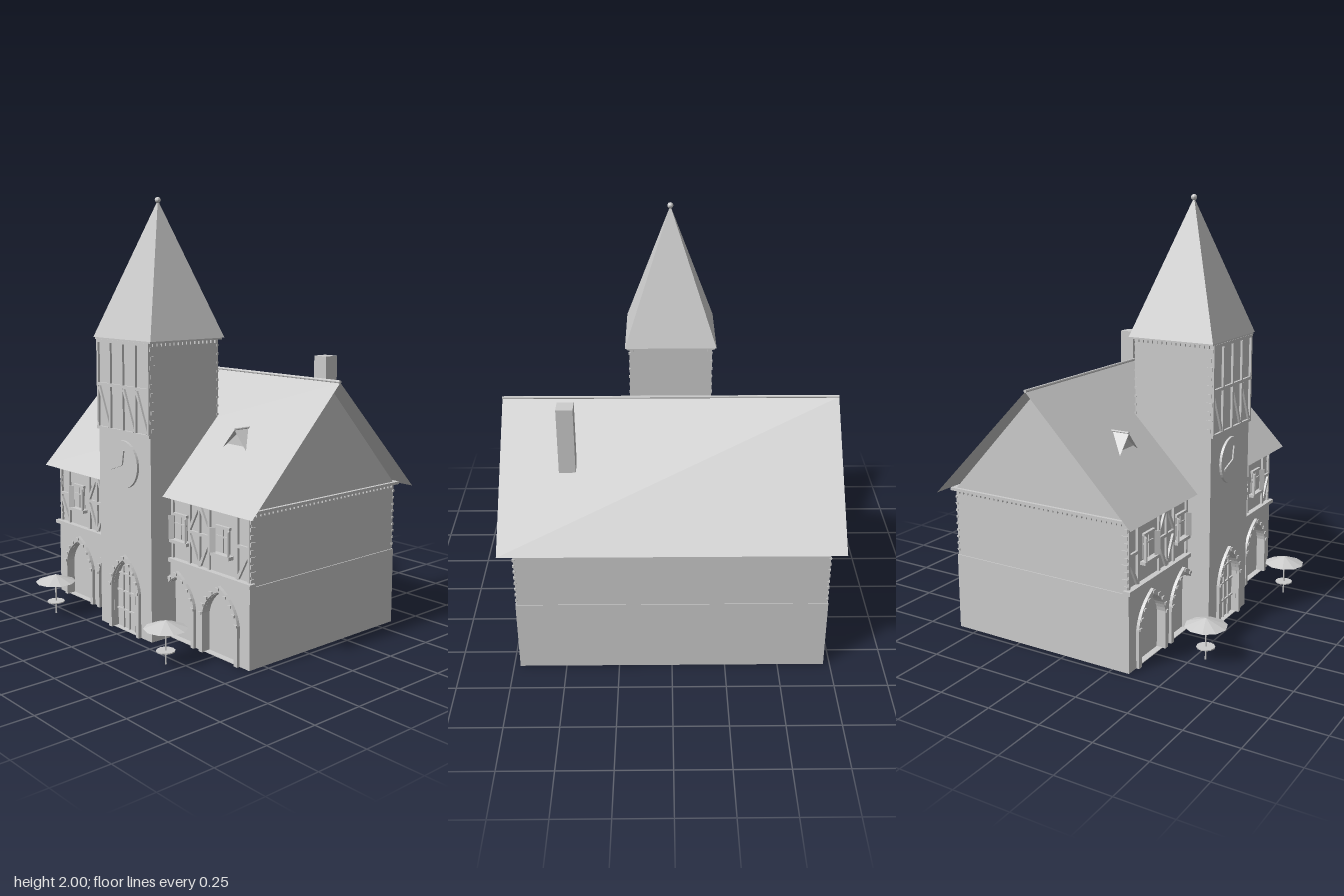
import * as THREE from 'three';

const stone = new THREE.MeshStandardMaterial({ color: 0xcccccc, side: THREE.DoubleSide, flatShading: true });
stone.name = 'pale grey';

export function createModel() {
  const model = new THREE.Group();
  model.name = 'townHall';

  const mesh = (name, geo, parent = model) => {
    const m = new THREE.Mesh(geo, stone);
    m.name = name;
    parent.add(m);
    return m;
  };
  const group = (name, parent = model) => {
    const g = new THREE.Group();
    g.name = name;
    parent.add(g);
    return g;
  };
  // Box given by its extents on each axis
  const box = (name, x0, x1, y0, y1, z0, z1, parent) => {
    const m = mesh(name, new THREE.BoxGeometry(x1 - x0, y1 - y0, z1 - z0), parent);
    m.position.set((x0 + x1) / 2, (y0 + y1) / 2, (z0 + z1) / 2);
    return m;
  };
  // Straight timber lying on a front wall
  const bar = (name, x0, y0, x1, y1, z, w, d, parent) => {
    const m = mesh(name, new THREE.BoxGeometry(Math.hypot(x1 - x0, y1 - y0), w, d), parent);
    m.position.set((x0 + x1) / 2, (y0 + y1) / 2, z);
    m.rotation.z = Math.atan2(y1 - y0, x1 - x0);
    return m;
  };
  const quad = (name, pts, parent) => {
    const geo = new THREE.BufferGeometry();
    geo.setAttribute('position', new THREE.Float32BufferAttribute(pts.flat(), 3));
    geo.setIndex([0, 1, 2, 0, 2, 3]);
    geo.computeVertexNormals();
    return mesh(name, geo, parent);
  };
  const extrude = (name, shape, depth, parent) =>
    mesh(name, new THREE.ExtrudeGeometry(shape, { depth, bevelEnabled: false }), parent);

  // Outline of a pointed arch, from bottom right over the top to bottom left
  const archPoints = (cx, w, spring, top, y0 = 0) => {
    const c = spring + (top - spring) * 0.65;
    return new THREE.Path().moveTo(cx + w, y0).lineTo(cx + w, spring)
      .quadraticCurveTo(cx + w * 0.85, c, cx, top)
      .quadraticCurveTo(cx - w * 0.85, c, cx - w, spring)
      .lineTo(cx - w, y0).getPoints(8);
  };
  const rect = (x0, x1, y0, y1) => new THREE.Shape([
    new THREE.Vector2(x0, y0), new THREE.Vector2(x1, y0),
    new THREE.Vector2(x1, y1), new THREE.Vector2(x0, y1)]);
  // Moulded arch surround with small stones along its curve
  const archSurround = (cx, w, spring, top, z, parent) => {
    const outer = archPoints(cx, w, spring, top);
    const inner = archPoints(cx, w - 0.022, spring, top - 0.026);
    extrude('archMoulding', new THREE.Shape([...outer, ...inner.reverse()]), 0.016, parent).position.z = z;
    archPoints(cx, w - 0.011, spring, top - 0.013).forEach((p, i) => {
      if (i % 2) mesh('archStone', new THREE.BoxGeometry(0.018, 0.012, 0.008), parent).position.set(p.x, p.y, z + 0.018);
    });
  };

  // ---------- Main house ----------
  const house = group('house');
  box('lowerStorey', -0.72, 0.72, 0, 0.36, -0.6, 0.305, house);
  const front = rect(-0.72, 0.72, 0, 0.36);
  const arches = [-0.535, -0.25, 0.25, 0.535];
  for (const x of arches) front.holes.push(new THREE.Path(archPoints(x, 0.103, 0.18, 0.3, 0.003)));
  extrude('arcadeWall', front, 0.03, house).position.z = 0.305;
  for (const x of arches) archSurround(x, 0.125, 0.18, 0.328, 0.334, house);
  box('upperStorey', -0.715, 0.715, 0.36, 0.68, -0.597, 0.322, house);

  // Attic with triangular ends
  const gable = new THREE.Shape([new THREE.Vector2(-0.325, 0.68), new THREE.Vector2(0.597, 0.68), new THREE.Vector2(0.136, 1.175)]);
  const attic = extrude('atticGables', gable, 1.43, house);
  attic.rotation.y = Math.PI / 2;
  attic.position.x = -0.715;

  // Roof sheets and ridge
  for (const [name, z] of [['frontRoof', 0.38], ['backRoof', -0.658]])
    quad(name, z > 0
      ? [[-0.777, 0.667, z], [0.777, 0.667, z], [0.777, 1.193, -0.139], [-0.777, 1.193, -0.139]]
      : [[0.777, 0.667, z], [-0.777, 0.667, z], [-0.777, 1.193, -0.139], [0.777, 1.193, -0.139]], house);
  const ridge = mesh('ridgeTile', new THREE.CylinderGeometry(0.007, 0.007, 1.555, 8), house);
  ridge.rotation.z = Math.PI / 2;
  ridge.position.set(0, 1.196, -0.139);

  // Eaves cornice with dentils on the gable ends
  box('eavesCornice', -0.73, 0.73, 0.672, 0.685, -0.618, 0.335, house);
  for (const s of [-1, 1]) {
    for (let z = -0.58; z < 0.31; z += 0.025)
      mesh('dentil', new THREE.BoxGeometry(0.012, 0.012, 0.013), house).position.set(s * 0.718, 0.666, z);
    // Corner stones
    for (let i = 0; i < 9; i++) {
      const y = 0.385 + i * 0.032;
      box('cornerStone', s * 0.71 - 0.01, s * 0.71 + 0.01, y - 0.009, y + 0.009, i % 2 ? 0.3 : 0.312, 0.33, house);
      mesh('backCornerStone', new THREE.BoxGeometry(0.012, 0.01, 0.012), house).position.set(s * 0.713, y, -0.594);
    }
  }
  box('chimney', 0.43, 0.505, 0.96, 1.275, -0.42, -0.345, house);

  // ---------- Timbering, windows and dormers, mirrored ----------
  box('floorBeam', -0.735, 0.735, 0.362, 0.38, 0.315, 0.35, house);
  for (const s of [-1, 1]) {
    const wing = group(s < 0 ? 'rightWing' : 'leftWing');
    const t = (x0, y0, x1, y1, w = 0.014) => bar('timber', s * x0, y0, s * x1, y1, 0.326, w, 0.014, wing);
    for (const x of [0.708, 0.635, 0.455, 0.39, 0.325, 0.205]) t(x, 0.38, x, 0.67, 0.012);
    t(0.2, 0.655, 0.71, 0.655);
    t(0.325, 0.525, 0.455, 0.525);
    t(0.635, 0.525, 0.71, 0.525);
    t(0.708, 0.51, 0.64, 0.385);
    t(0.455, 0.51, 0.395, 0.385);
    t(0.325, 0.51, 0.385, 0.385);
    t(0.455, 0.54, 0.395, 0.65);
    t(0.325, 0.54, 0.385, 0.65);

    for (const cx of [0.545, 0.262]) {
      const w = group('window', wing);
      w.position.x = s * cx;
      box('windowPane', -0.04, 0.04, 0.475, 0.585, 0.32, 0.327, w);
      box('mullion', -0.004, 0.004, 0.475, 0.585, 0.325, 0.332, w);
      box('transom', -0.04, 0.04, 0.54, 0.547, 0.325, 0.332, w);
      box('windowHead', -0.045, 0.045, 0.58, 0.592, 0.32, 0.336, w);
      box('windowSill', -0.06, 0.06, 0.455, 0.47, 0.32, 0.35, w);
      for (const k of [-1, 1]) {
        const shutter = mesh('shutter', new THREE.BoxGeometry(0.026, 0.11, 0.006), w);
        shutter.position.set(k * 0.05, 0.525, 0.344);
        shutter.rotation.y = -k * 0.85;
      }
    }

    // Small roof dormer
    const dormer = group('dormer', wing);
    dormer.position.x = s * 0.43;
    const face = new THREE.Shape([new THREE.Vector2(-0.063, 0.905), new THREE.Vector2(0.063, 0.905), new THREE.Vector2(0, 0.957)]);
    extrude('dormerFront', face, 0.07, dormer).position.z = 0.075;
    for (const k of [-1, 1]) {
      const pts = [[0, 0.975, 0.16], [k * 0.075, 0.89, 0.16], [k * 0.075, 0.89, 0.055], [0, 0.975, 0.055]];
      quad('dormerRoof', k > 0 ? pts : pts.reverse(), dormer);
    }
    const cap = mesh('dormerRidge', new THREE.CylinderGeometry(0.005, 0.005, 0.105, 8), dormer);
    cap.rotation.x = Math.PI / 2;
    cap.position.set(0, 0.978, 0.107);

    // Parasol over a small round table
    const parasol = group('parasolTable');
    parasol.position.set(s * 0.43, 0, 0.553);
    mesh('canopy', new THREE.ConeGeometry(0.097, 0.036, 10, 1), parasol).position.y = 0.178;
    mesh('pole', new THREE.CylinderGeometry(0.004, 0.004, 0.165, 8), parasol).position.y = 0.0825;
    mesh('tableTop', new THREE.CylinderGeometry(0.042, 0.042, 0.005, 12), parasol).position.y = 0.06;
  }

  // ---------- Clock tower ----------
  const tower = group('tower');
  box('towerShaft', -0.195, 0.195, 0, 1.36, 0.05, 0.42, tower);
  const wall = rect(-0.195, 0.195, 0, 1.36);
  wall.holes.push(new THREE.Path(archPoints(0, 0.093, 0.21, 0.342, 0.003)));
  extrude('towerFront', wall, 0.025, tower).position.z = 0.42;
  archSurround(0, 0.116, 0.21, 0.37, 0.444, tower);
  for (const x of [-0.045, 0, 0.045]) box('doorBar', x - 0.004, x + 0.004, 0, 0.3, 0.42, 0.428, tower);
  for (const y of [0.09, 0.18, 0.265]) box('doorRail', -0.09, 0.09, y - 0.004, y + 0.004, 0.42, 0.428, tower);

  // Clock
  const clock = mesh('clockFace', new THREE.CylinderGeometry(0.11, 0.11, 0.012, 40), tower);
  clock.rotation.x = Math.PI / 2;
  clock.position.set(0, 0.795, 0.451);
  bar('hourHand', 0, 0.795, 0.012, 0.86, 0.46, 0.01, 0.008, tower);
  bar('minuteHand', 0, 0.795, -0.085, 0.764, 0.46, 0.01, 0.008, tower);

  // Timber frame of the belfry
  for (const x of [-0.19, -0.095, 0, 0.095, 0.19]) bar('belfryPost', x, 0.945, x, 1.35, 0.449, 0.012, 0.014, tower);
  for (const y of [0.945, 1.15, 1.35]) bar('belfryBeam', -0.197, y, 0.197, y, 0.449, 0.014, 0.014, tower);
  for (const x of [-0.182, 0.007, 0.102]) bar('belfryBrace', x, 1.14, x + 0.078, 0.955, 0.449, 0.013, 0.012, tower);
  for (const s of [-1, 1]) for (let i = 0; i < 10; i++) {
    mesh('towerCornerStone', new THREE.BoxGeometry(0.01, 0.018, i % 2 ? 0.03 : 0.018), tower).position.set(s * 0.195, 0.97 + i * 0.04, 0.435);
    mesh('towerBackStone', new THREE.BoxGeometry(0.01, 0.01, 0.01), tower).position.set(s * 0.193, 0.97 + i * 0.04, 0.053);
  }

  // Cornice, dentils, spire and finial
  box('towerCornice', -0.208, 0.208, 1.356, 1.37, 0.036, 0.454, tower);
  for (const s of [-1, 1]) for (let i = 0; i < 16; i++) {
    const d = -0.18 + i * 0.024;
    mesh('towerDentil', new THREE.BoxGeometry(0.014, 0.014, 0.012), tower).position.set(s * 0.196, 1.349, 0.247 + d);
    if (s < 0) mesh('towerDentil', new THREE.BoxGeometry(0.012, 0.014, 0.014), tower).position.set(d, 1.349, 0.049);
  }
  const spire = new THREE.ConeGeometry(0.215 * Math.SQRT2, 0.62, 4, 1);
  spire.rotateY(Math.PI / 4);
  mesh('spire', spire, tower).position.set(0, 1.675, 0.243);
  mesh('finial', new THREE.SphereGeometry(0.014, 12, 8), tower).position.set(0, 1.986, 0.243);

  return model;
}
